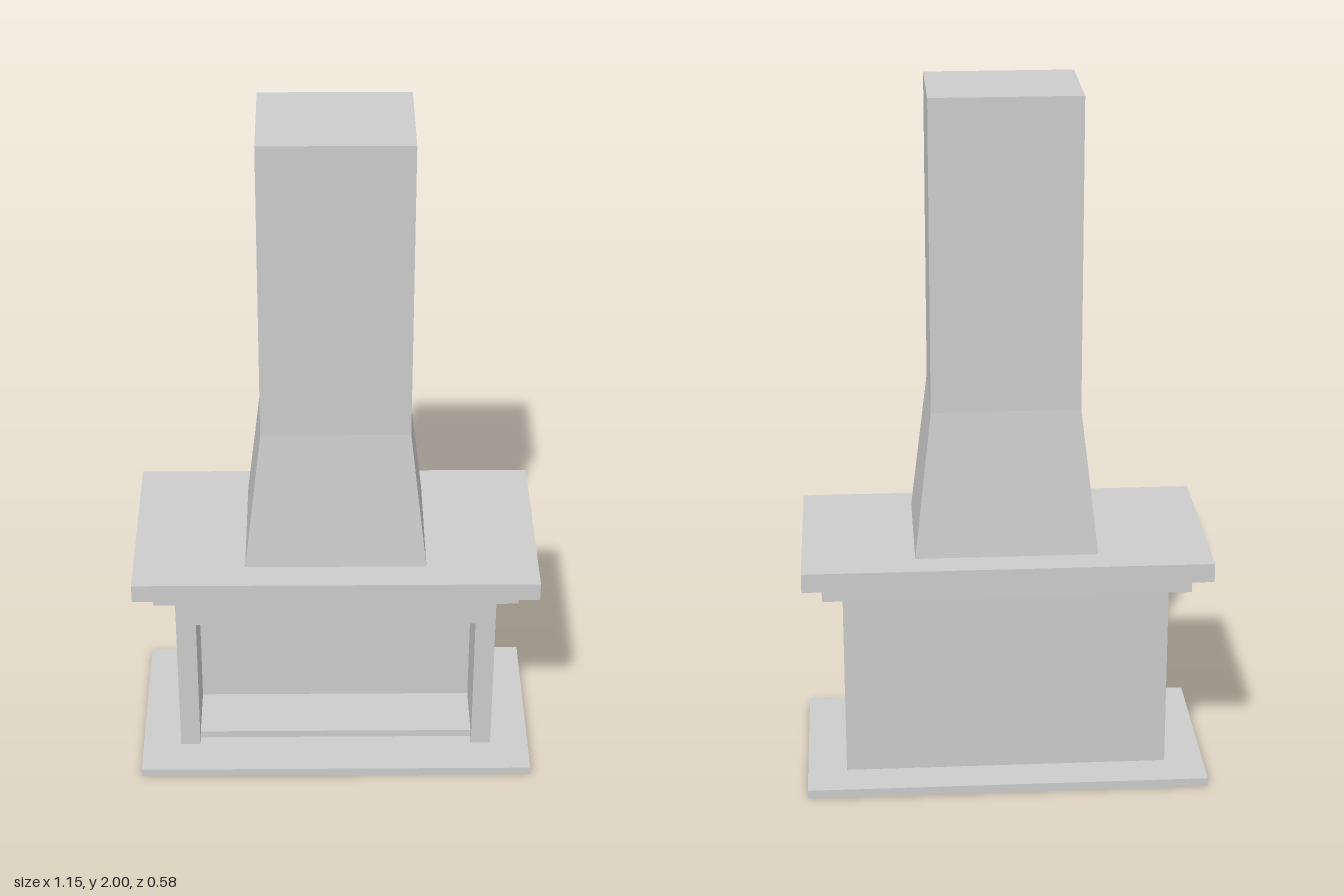
import * as THREE from 'three';

const stone = new THREE.MeshStandardMaterial({ color: 0xcccccc });
stone.name = 'plainGreyStone';

export function createModel() {
  const group = new THREE.Group();
  group.name = 'fireplace';

  const add = (name, geometry) => {
    const mesh = new THREE.Mesh(geometry, stone);
    mesh.name = name;
    group.add(mesh);
    return mesh;
  };
  // Box given by half width, bottom, top, back and front
  const slab = (name, hx, y0, y1, z0, z1) =>
    add(name, new THREE.BoxGeometry(2 * hx, y1 - y0, z1 - z0))
      .position.set(0, (y0 + y1) / 2, (z0 + z1) / 2);

  const baseTop = 0.025, bodyTop = 0.59, bodyX = 0.463, bodyZ = 0.172;
  const openX = 0.405, openTop = 0.473, recessZ = -0.033;

  // Hearth plate and the two steps of the mantel
  slab('hearthPlate', 0.575, 0, baseTop, -0.288, 0.288);
  slab('mantelLower', 0.52, bodyTop, 0.645, -0.232, 0.232);
  slab('mantelUpper', 0.575, 0.645, 0.7, -0.288, 0.288);

  // Surround: an arch outline open at the bottom, with a solid wall behind
  const outline = [
    [-bodyX, baseTop], [-openX, baseTop], [-openX, openTop], [openX, openTop],
    [openX, baseTop], [bodyX, baseTop], [bodyX, bodyTop], [-bodyX, bodyTop],
  ].map(([x, y]) => new THREE.Vector2(x, y));
  add('surround', new THREE.ExtrudeGeometry(new THREE.Shape(outline), {
    depth: bodyZ - recessZ, bevelEnabled: false,
  })).position.z = recessZ;
  slab('backWall', bodyX, baseTop, bodyTop, -bodyZ, recessZ);
  slab('fireboxFloor', openX, baseTop, 0.048, recessZ, 0.142);

  // Chimney: a straight shaft whose lowest part flares out
  const y0 = 0.7, yBend = 1.12, y1 = 2;
  const flue = new THREE.BoxGeometry(0.416, 1, 0.324, 1, 2, 1);
  const p = flue.attributes.position;
  for (let i = 0; i < p.count; i++) {
    const level = Math.round((p.getY(i) + 0.5) * 2);
    p.setY(i, [y0, yBend, y1][level]);
    if (level === 0) {
      p.setX(i, Math.sign(p.getX(i)) * 0.257);
      p.setZ(i, Math.sign(p.getZ(i)) * 0.2);
    }
  }
  // Separate faces keep the bend sharp
  const chimney = flue.toNonIndexed();
  chimney.computeVertexNormals();
  add('chimney', chimney);

  return group;
}
